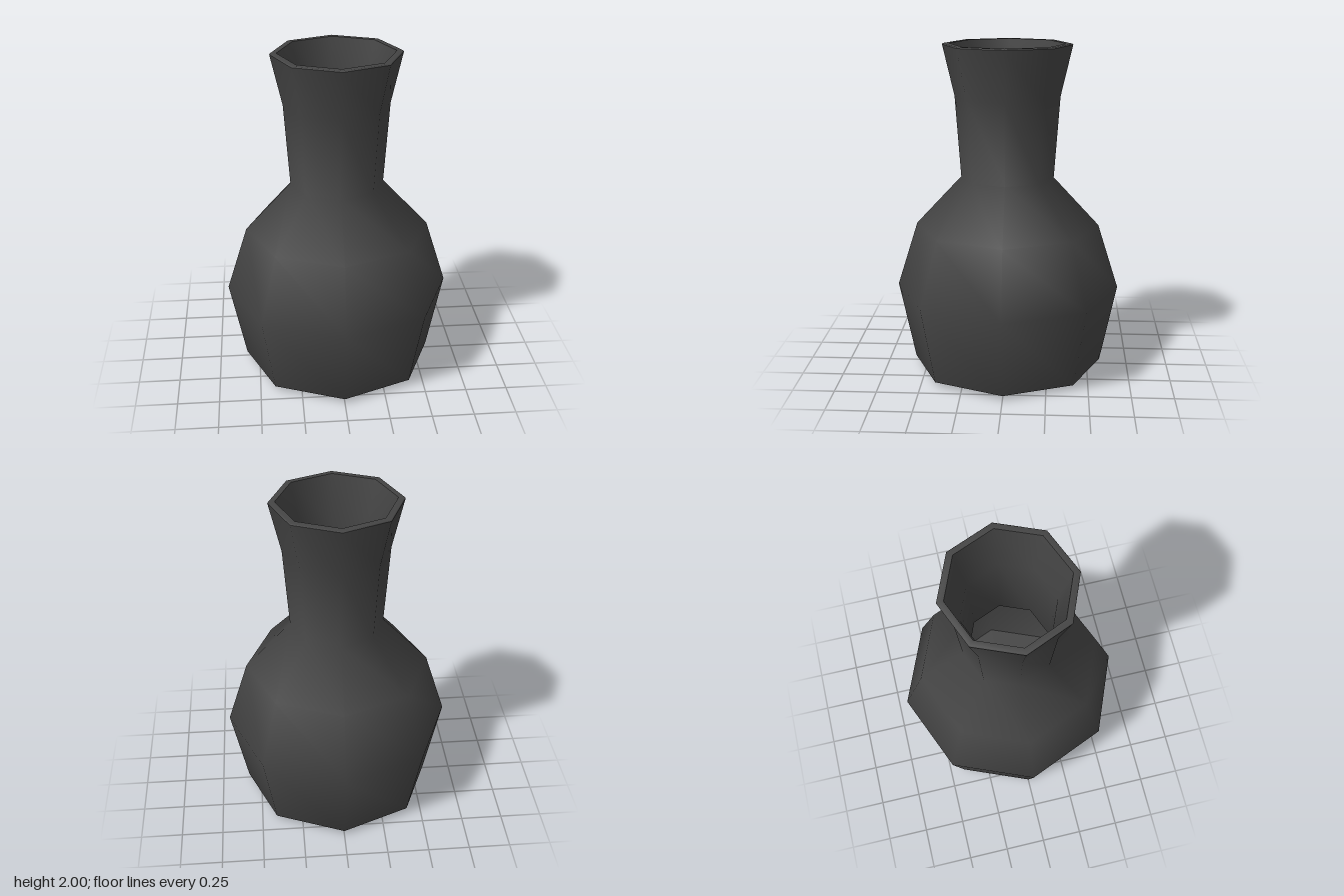
import * as THREE from 'three';

const SIDES = 8;
const material = new THREE.MeshStandardMaterial({ color: 0x444444 });

// Revolve a profile of [radius, height] pairs into an eight-sided part
function turned(name, profile) {
  const points = profile.map(([r, y]) => new THREE.Vector2(r, y));
  const mesh = new THREE.Mesh(new THREE.LatheGeometry(points, SIDES), material);
  mesh.name = name;
  return mesh;
}

export function createModel() {
  const vase = new THREE.Group();
  vase.name = 'vase';

  // Underside
  vase.add(turned('base', [[0, 0], [0.5, 0]]));

  // Bulging body, narrow neck and flared mouth
  vase.add(turned('outerWall', [
    [0.5, 0], [0.58, 0.03], [0.68, 0.51], [0.555, 0.905],
    [0.28, 1.2], [0.315, 1.69], [0.385, 1.993],
  ]));

  // Thin lip joining the outer and inner walls
  vase.add(turned('rim', [[0.385, 1.993], [0.38, 2], [0.345, 2]]));

  // Hollow inside, running down from the lip
  vase.add(turned('innerWall', [
    [0.345, 2], [0.275, 1.7], [0.243, 1.185],
    [0.52, 0.88], [0.637, 0.51], [0.54, 0.05],
  ]));

  // Inner floor
  vase.add(turned('innerFloor', [[0.54, 0.05], [0, 0.05]]));

  return vase;
}
